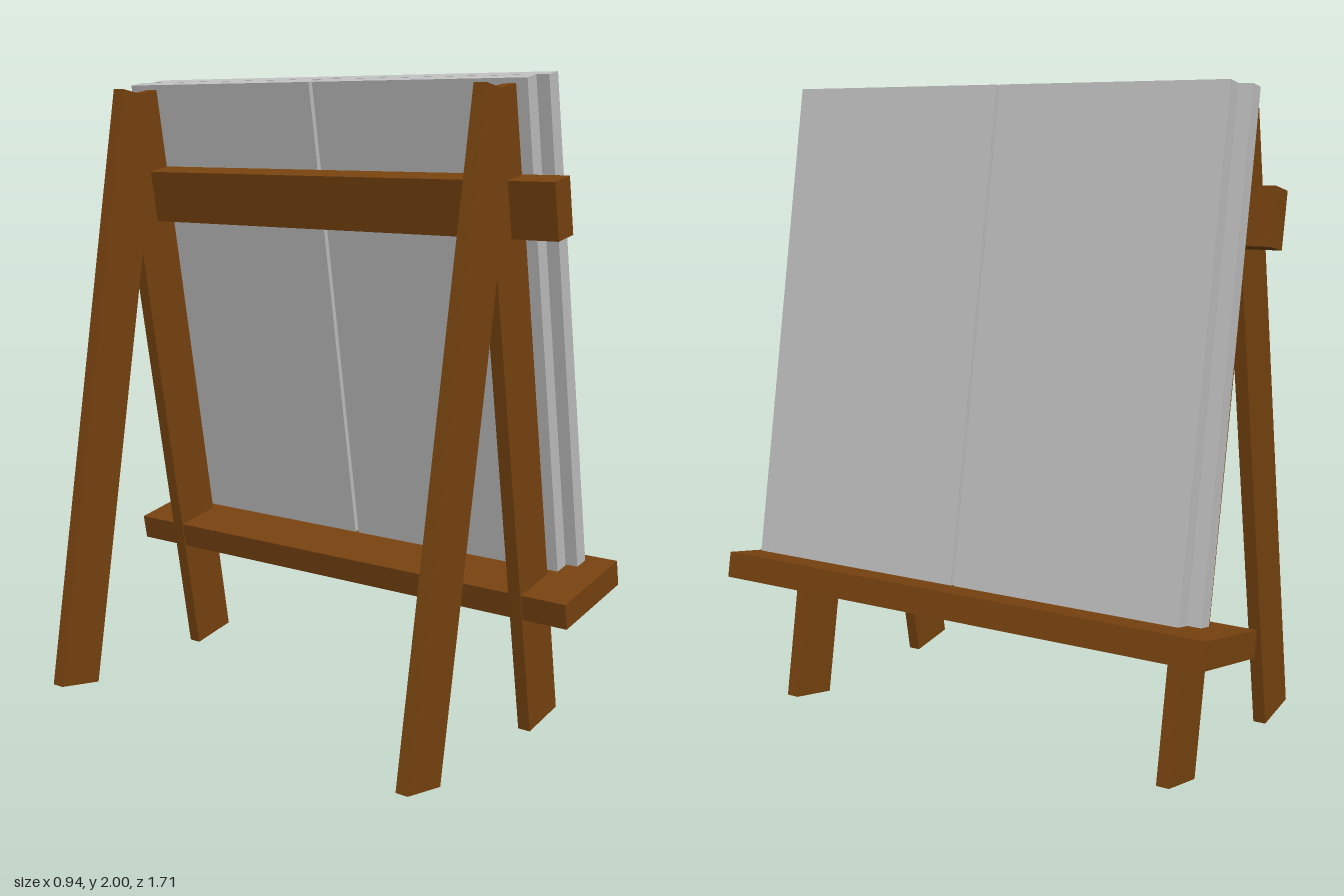
import * as THREE from 'three';

export function createModel() {
  const group = new THREE.Group();
  const wood = new THREE.MeshStandardMaterial({ color: 0x784310 });
  wood.name = 'brown wood';
  const board = new THREE.MeshStandardMaterial({ color: 0xc0c0c0 });
  board.name = 'light grey board';

  // Side profile in x/y, extruded from z0 to z1
  function addProfile(name, points, z0, z1, material) {
    const shape = new THREE.Shape(points.map(([x, y]) => new THREE.Vector2(x, y)));
    const geometry = new THREE.ExtrudeGeometry(shape, { depth: z1 - z0, bevelEnabled: false });
    geometry.translate(0, 0, z0);
    const mesh = new THREE.Mesh(geometry, material);
    mesh.name = name;
    group.add(mesh);
  }

  // A-frame trestles: two leaning legs joined at a notched top
  const mid = -0.055;
  const half = [[0, 1.952], [0.079, 1.966], [0.42, 0.03], [0.255, 0], [0, 1.43]];
  const trestle = [
    ...half.map(([x, y]) => [mid + x, y]),
    ...half.slice(1, 4).reverse().map(([x, y]) => [mid - x, y]),
  ];
  addProfile('leftTrestle', trestle, 0.664, 0.705, wood);
  addProfile('rightTrestle', trestle, -0.705, -0.664, wood);

  // Rail across the top and tray across the bottom
  addProfile('topRail', [[-0.01, 1.697], [0.073, 1.713], [0.103, 1.547], [0.02, 1.532]], -0.855, 0.855, wood);
  addProfile('tray', [[0.122, 0.457], [0.454, 0.516], [0.469, 0.436], [0.137, 0.377]], -0.855, 0.855, wood);

  // Two layers of leaning boards, each a pair with a narrow gap
  const outer = [[0.082, 1.991], [0.131, 2], [0.393, 0.518], [0.342, 0.509]];
  const inner = outer.map(([x, y]) => [x - 0.055, y - 0.0097]);
  addProfile('outerBoardRight', outer, -0.74, 0.013, board);
  addProfile('outerBoardLeft', outer, 0.024, 0.777, board);
  addProfile('innerBoardRight', inner, -0.782, -0.028, board);
  addProfile('innerBoardLeft', inner, -0.015, 0.739, board);

  return group;
}
